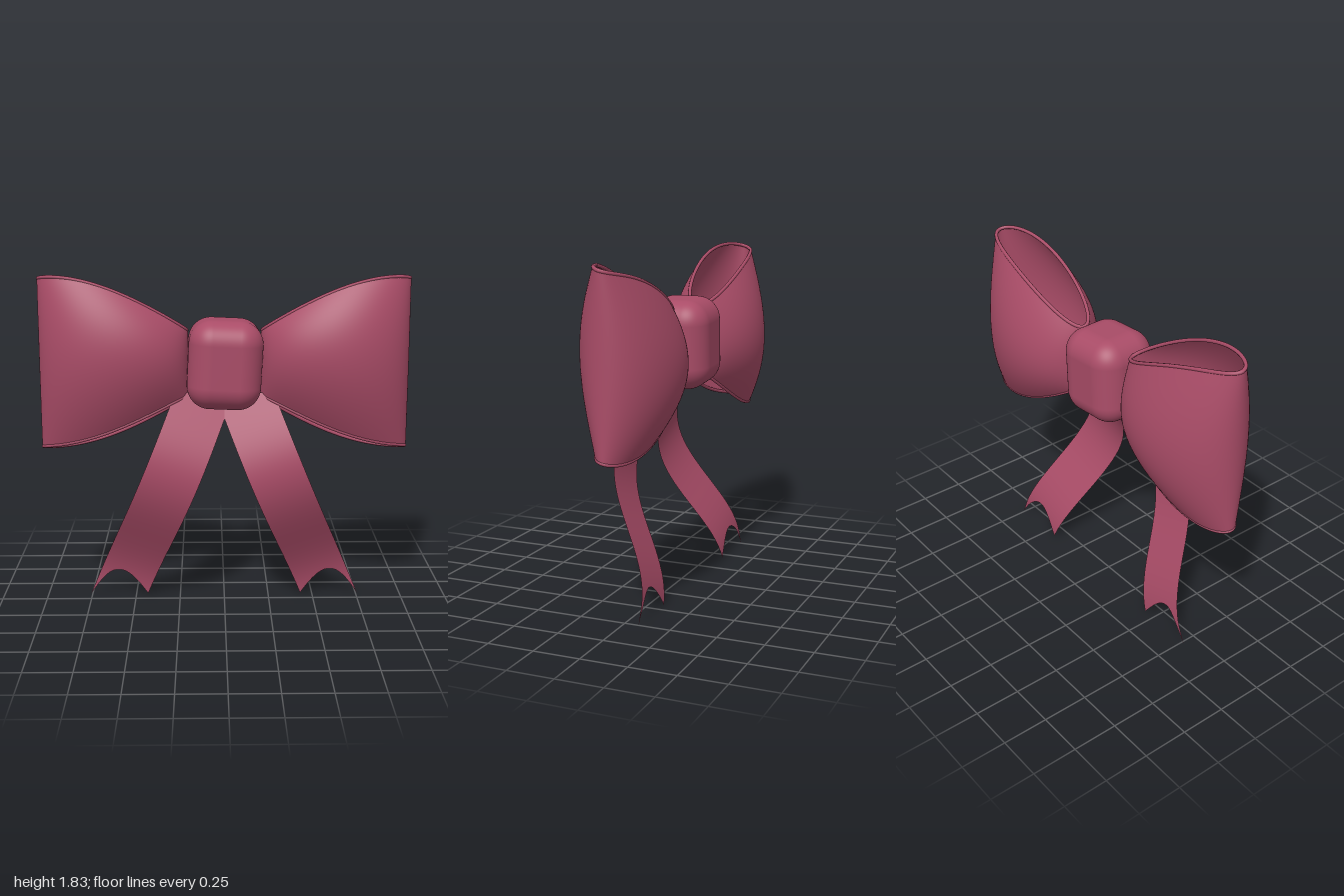
import * as THREE from 'three';
import { RoundedBoxGeometry } from 'three/addons/geometries/RoundedBoxGeometry.js';

const MID_Y = 1.345;
const material = new THREE.MeshStandardMaterial({ color: 0xa94c67, side: THREE.DoubleSide });

// Smooth sheet from a function point(u, v) -> Vector3
function sheet(point, nu, nv) {
  const positions = [], index = [];
  for (let j = 0; j <= nv; j++)
    for (let i = 0; i <= nu; i++) positions.push(...point(i / nu, j / nv).toArray());
  for (let j = 0; j < nv; j++)
    for (let i = 0; i < nu; i++) {
      const a = j * (nu + 1) + i, b = a + 1, c = a + nu + 1, d = c + 1;
      index.push(a, b, d, a, d, c);
    }
  const geometry = new THREE.BufferGeometry();
  geometry.setAttribute('position', new THREE.Float32BufferAttribute(positions, 3));
  geometry.setIndex(index);
  geometry.computeVertexNormals();
  return geometry;
}

// Point on a bow loop: an elliptical band, taller outward and bulging at mid height
function loopPoint(side, angle, v, inset = 0) {
  const x = 0.596 + (0.4 - inset) * Math.cos(angle);
  const t = THREE.MathUtils.clamp((x - 0.196) / 0.8, 0, 1);
  const halfHeight = 0.18 + 0.285 * Math.sin(t * Math.PI / 2);
  const z = (0.234 - 0.12 * v * v - inset) * Math.sin(angle);
  return new THREE.Vector3(side * x, MID_Y + halfHeight * v + 0.28 * z, z);
}

// Point on a hanging tail: straight edges, swallow-tail notch, wave in depth
function tailPoint(side, u, v) {
  const topY = 1.19, slope = 0.413, width = 0.325;
  const tipX = 0.434 + width * u, tipY = 0.15 * Math.sin(Math.PI * u);
  const x = THREE.MathUtils.lerp(0.434 - slope * topY + width * u, tipX, v);
  const y = THREE.MathUtils.lerp(topY, tipY, v);
  const across = x - (0.434 - slope * y + width / 2);
  const phase = Math.PI * (y - 0.3 * across - 0.75) / 0.72;
  const z = 0.06 + 0.14 * Math.cos(Math.max(phase, -Math.PI));
  return new THREE.Vector3(side * x, y, z);
}

export function createModel() {
  const group = new THREE.Group();
  const add = (name, geometry) => {
    const mesh = new THREE.Mesh(geometry, material);
    mesh.name = name;
    group.add(mesh);
    return mesh;
  };

  for (const [side, label] of [[1, 'left'], [-1, 'right']]) {
    // Loop, with its seam hidden behind the knot
    add(label + 'Loop', sheet((u, v) => loopPoint(side, Math.PI + u * Math.PI * 2, v * 2 - 1), 96, 28));

    // Rolled hems on the upper and lower edges
    for (const [v, edge] of [[0.985, 'Upper'], [-0.985, 'Lower']]) {
      const points = [];
      for (let i = 0; i < 64; i++) points.push(loopPoint(side, i / 64 * Math.PI * 2, v, 0.006));
      const path = new THREE.CatmullRomCurve3(points, true);
      add(label + edge + 'Hem', new THREE.TubeGeometry(path, 128, 0.01, 8, true));
    }

    // Hanging tail
    add(label + 'Tail', sheet((u, v) => tailPoint(side, u, v), 24, 48));
  }

  // Knot, slightly askew
  const knot = add('knot', new RoundedBoxGeometry(0.4, 0.48, 0.375, 8, 0.125));
  knot.position.y = MID_Y;
  knot.rotation.set(0, 0.04, -0.05);

  return group;
}
